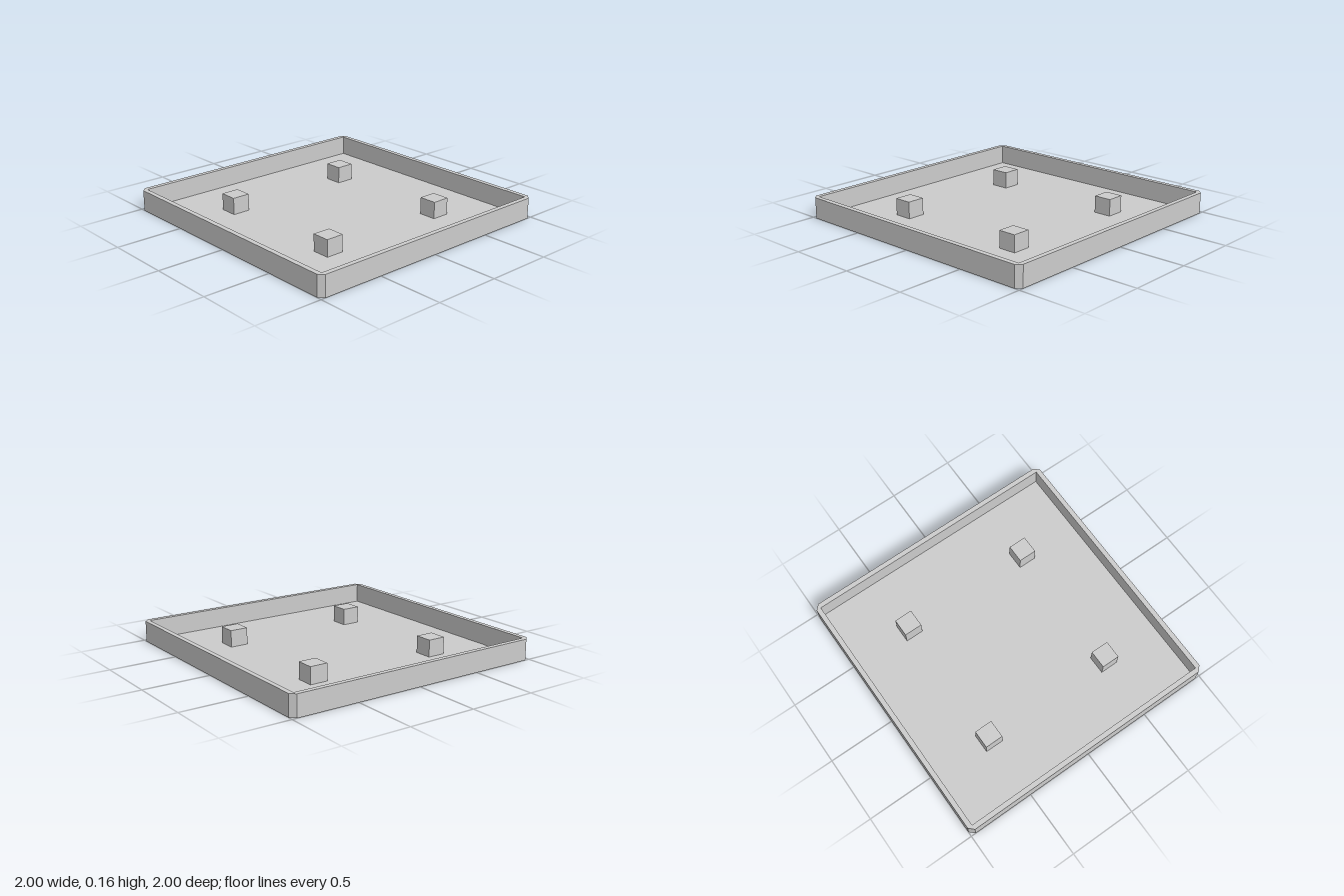
import * as THREE from 'three';

const HEIGHT = 0.155, INNER = 0.964, FLOOR = 0.01, PEG = 0.135;

export function createModel() {
  const model = new THREE.Group();
  model.name = 'tray';
  const material = new THREE.MeshStandardMaterial({ color: 0xcccccc, flatShading: true });

  const add = (name, geometry, x, y, z) => {
    const mesh = new THREE.Mesh(geometry, material);
    mesh.name = name;
    mesh.position.set(x, y, z);
    model.add(mesh);
  };

  // Rim: chamfered square outline with a sharp square opening
  const outline = new THREE.Shape();
  const corners = [[1, 1], [-1, 1], [-1, -1], [1, -1]];
  corners.forEach(([sx, sy], i) => {
    const points = [[sx, sy * INNER], [sx * INNER, sy]];
    if (i % 2) points.reverse();
    points.forEach(([x, y], j) => (i + j ? outline.lineTo(x, y) : outline.moveTo(x, y)));
  });
  outline.closePath();
  outline.holes.push(new THREE.Path(
    corners.map(([sx, sy]) => new THREE.Vector2(sx * INNER, sy * INNER)).reverse()
  ));
  const rim = new THREE.ExtrudeGeometry(outline, { depth: HEIGHT, bevelEnabled: false });
  rim.rotateX(-Math.PI / 2);
  add('rim', rim, 0, 0, 0);

  // Thin floor panel inside the rim
  add('floor', new THREE.BoxGeometry(2 * INNER, FLOOR, 2 * INNER), 0, FLOOR / 2, 0);

  // Four square pegs standing on the floor
  const peg = new THREE.BoxGeometry(PEG, PEG, PEG);
  for (const [sx, sz] of corners) add('peg', peg, sx * 0.508, PEG / 2, sz * 0.508);

  return model;
}
